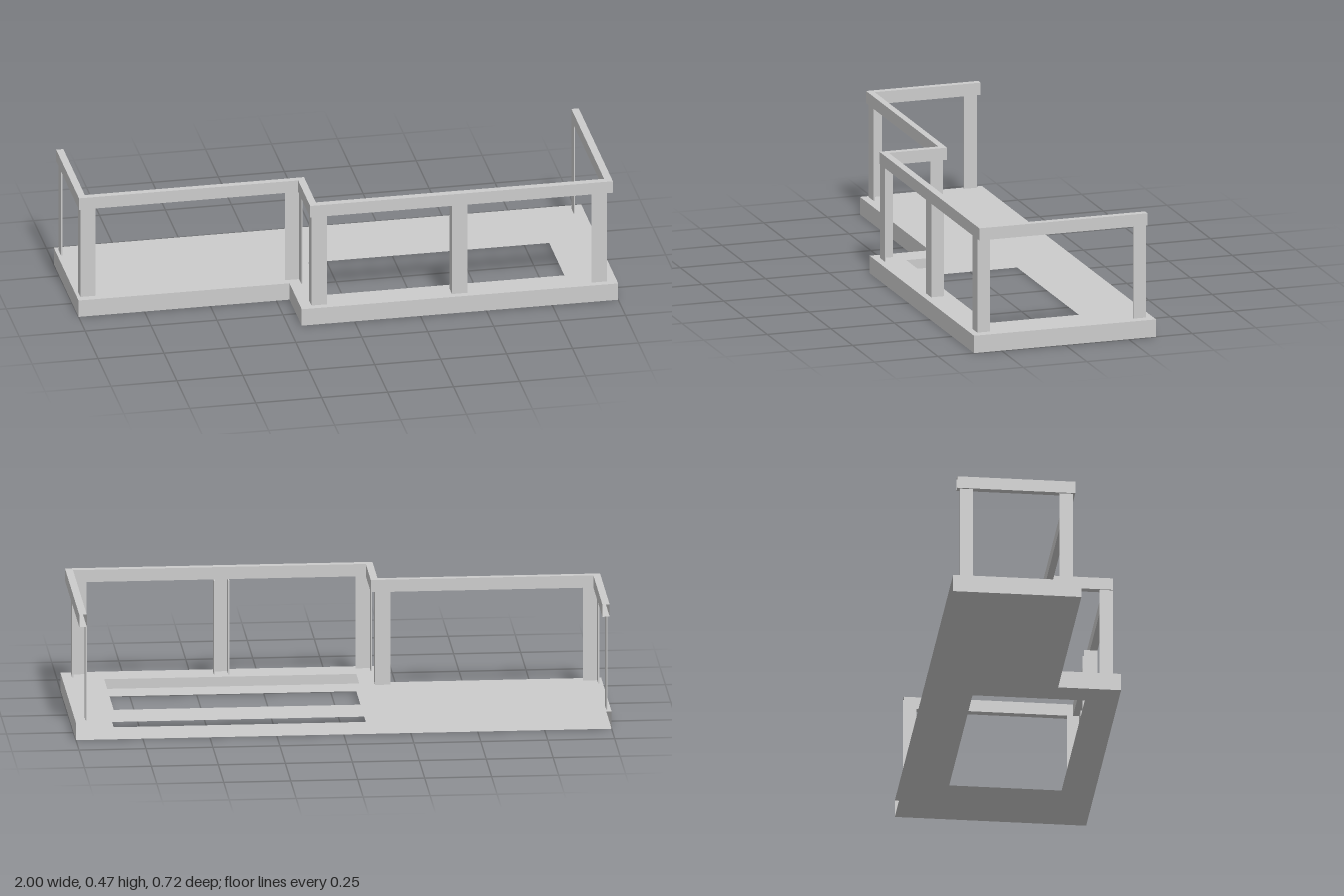
import * as THREE from 'three';
import { mergeGeometries } from 'three/addons/utils/BufferGeometryUtils.js';

const material = new THREE.MeshStandardMaterial({ color: 0xcccccc, flatShading: true, side: THREE.DoubleSide });

// Heights
const DECK = 0.067, RAIL_LOW = 0.428, RAIL_TOP = 0.475;
// Posts are folded from thin sheet
const THICK = 0.005, POST_W = 0.058, POST_D = 0.05;

function addMesh(parent, name, geometry) {
  const mesh = new THREE.Mesh(geometry, material);
  mesh.name = name;
  parent.add(mesh);
  return mesh;
}

// Horizontal sheet from an outline of [x, z] points, with an optional hole
function sheet(outline, y, up, hole) {
  const s = up ? -1 : 1;
  const points = (list) => list.map(([x, z]) => new THREE.Vector2(x, s * z));
  const shape = new THREE.Shape(points(outline));
  if (hole) shape.holes.push(new THREE.Path(points(hole)));
  return new THREE.ShapeGeometry(shape).rotateX(s * Math.PI / 2).translate(0, y, 0);
}

// Upright sheets along a path of [x, z] points
function walls(path, y0, y1) {
  return path.slice(1).map(([x, z], i) => {
    const [px, pz] = path[i];
    return new THREE.PlaneGeometry(Math.hypot(x - px, z - pz), y1 - y0)
      .rotateY(Math.atan2(pz - z, x - px))
      .translate((x + px) / 2, (y0 + y1) / 2, (z + pz) / 2);
  });
}

// Upright plate between two plan corners
function plate(x0, x1, z0, z1) {
  return new THREE.BoxGeometry(x1 - x0, RAIL_LOW - DECK, z1 - z0)
    .translate((x0 + x1) / 2, (DECK + RAIL_LOW) / 2, (z0 + z1) / 2);
}

// Plate facing the front, with its front face at z
const frontPlate = (x0, z) => plate(x0, x0 + POST_W, z - THICK, z);
// Plate facing sideways, with its front edge at z
const sidePlate = (x0, z) => plate(x0, x0 + THICK, z - POST_D, z);

export function createModel() {
  const model = new THREE.Group();
  model.name = 'balcony';

  // Stepped hollow floor slab, open along the back, with a rectangular opening
  const outline = [[-1, -0.358], [-1, 0.122], [-0.2, 0.122], [-0.2, 0.358], [1, 0.358], [1, -0.358]];
  const opening = [[-0.096, -0.187], [-0.096, 0.249], [0.845, 0.249], [0.845, -0.187]];
  addMesh(model, 'floorSlab', mergeGeometries([
    sheet(outline, DECK, true, opening),
    sheet(outline, 0, false, opening),
    ...walls(outline, 0, DECK),
  ]));

  // Hollow handrail with open ends, following the stepped edge
  const outer = [[-0.994, -0.342], [-0.994, 0.1], [-0.163, 0.1], [-0.163, 0.332], [0.985, 0.332], [0.985, -0.329]];
  const inner = [[0.957, -0.329], [0.957, 0.304], [-0.136, 0.304], [-0.136, 0.075], [-0.967, 0.075], [-0.967, -0.342]];
  const band = [...outer, ...inner];
  addMesh(model, 'handrail', mergeGeometries([
    sheet(band, RAIL_TOP, true),
    sheet(band, RAIL_LOW, false),
    ...walls(outer, RAIL_LOW, RAIL_TOP),
    ...walls(inner, RAIL_LOW, RAIL_TOP),
  ]));

  // Folded posts: angles at the corners, a channel in the middle, flats at the back
  const posts = {
    rightBackPost: [sidePlate(-0.987, -0.282)],
    rightCornerPost: [frontPlate(-0.987, 0.092), sidePlate(-0.987, 0.092)],
    stepInnerPost: [frontPlate(-0.211, 0.092), sidePlate(-0.158, 0.135)],
    stepOuterPost: [frontPlate(-0.158, 0.332), sidePlate(-0.158, 0.332)],
    middlePost: [frontPlate(0.375, 0.332), sidePlate(0.375, 0.332), sidePlate(0.375 + POST_W - THICK, 0.332)],
    leftCornerPost: [frontPlate(0.904, 0.332), sidePlate(0.957, 0.332)],
    leftBackPost: [sidePlate(0.957, -0.282)],
  };
  for (const [name, plates] of Object.entries(posts)) addMesh(model, name, mergeGeometries(plates));

  return model;
}
